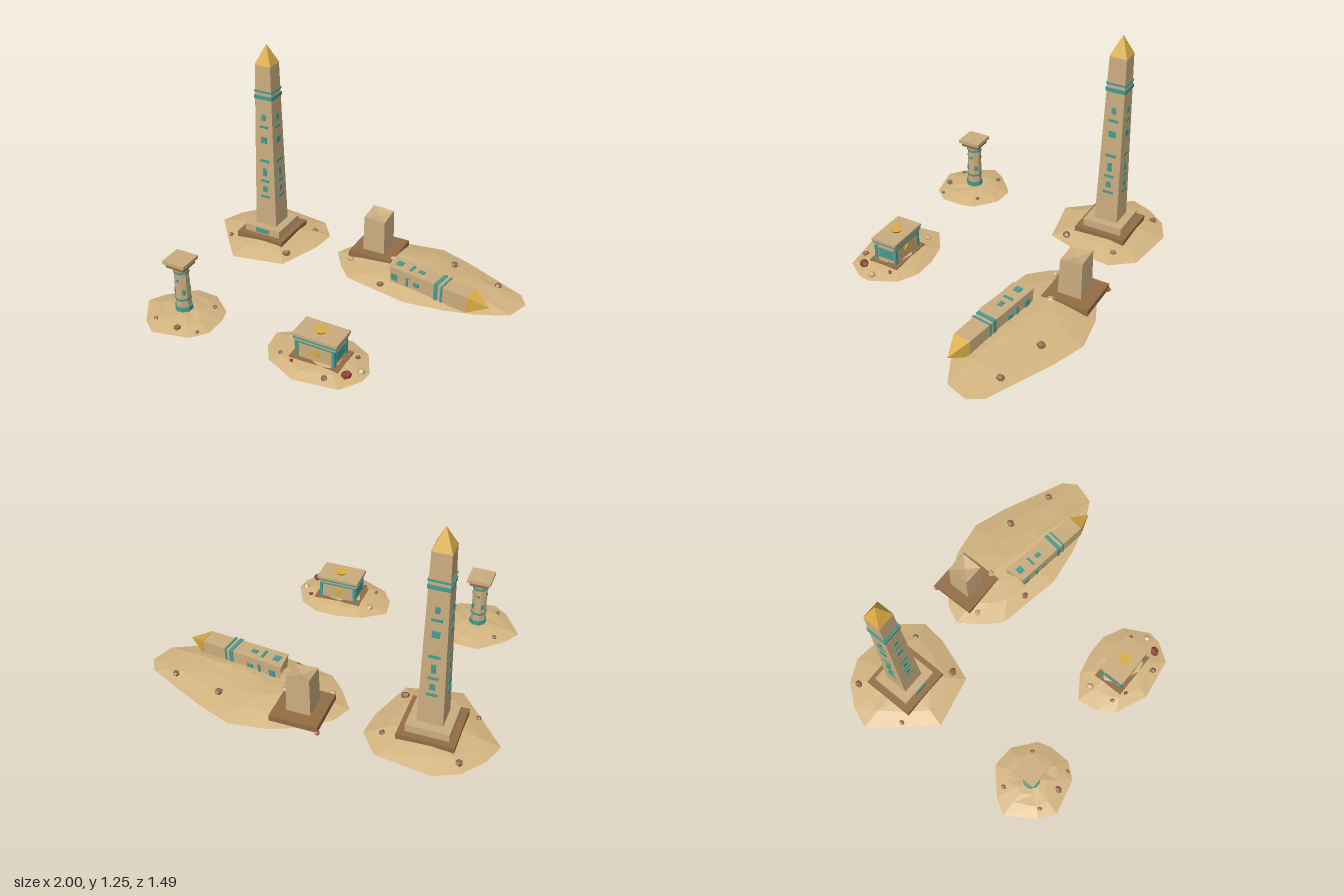
import * as THREE from 'three';

const mat = (name, color) => Object.assign(new THREE.MeshStandardMaterial({ color }), { name });
const M = {
  sand: mat('sand', 0xd3b480),
  stone: mat('stone', 0xcbad7f),
  brown: mat('brown stone', 0x936d45),
  gold: mat('gold', 0xd9ac45),
  teal: mat('teal', 0x469c94),
  rock: mat('rock', 0x93694a),
  red: mat('red rock', 0x8c4232),
};

let seed = 7;
const rand = () => ((seed = (seed * 16807) % 2147483647) / 2147483647);

// Faceted normals on any geometry
function flat(geo) {
  const g = geo.index ? geo.toNonIndexed() : geo;
  g.computeVertexNormals();
  return g;
}

function add(parent, name, geo, material, x = 0, y = 0, z = 0) {
  const mesh = new THREE.Mesh(flat(geo), material);
  mesh.name = name;
  mesh.position.set(x, y, z);
  parent.add(mesh);
  return mesh;
}

// Box given by its width, depth, bottom and top
const slab = (parent, name, material, w, d, y0, y1, x = 0, z = 0) =>
  add(parent, name, new THREE.BoxGeometry(w, y1 - y0, d), material, x, (y0 + y1) / 2, z);

// Square tapering block
function frustum(wTop, wBottom, y0, y1) {
  const g = new THREE.CylinderGeometry(wTop / Math.SQRT2, wBottom / Math.SQRT2, y1 - y0, 4);
  return g.rotateY(Math.PI / 4).translate(0, (y0 + y1) / 2, 0);
}

// Tilts and dents one end of a block so that it looks snapped off
function snap(geo, endY, slopeX, slopeZ, dent) {
  const p = geo.attributes.position;
  for (let i = 0; i < p.count; i++) {
    if (Math.abs(p.getY(i) - endY) > 1e-4) continue;
    const x = p.getX(i), z = p.getZ(i);
    p.setY(i, endY + slopeX * x + slopeZ * z + (Math.hypot(x, z) < 0.01 ? dent : 0));
  }
  return geo;
}

// Low sand mound: outline at the ground, rising in rings to a peak
function mound(parent, outline, cx, cz, height) {
  const rings = [[1, 0], [0.68, 0.58], [0.36, 0.9]];
  const n = outline.length, pos = [], idx = [];
  rings.forEach(([f, h], r) => outline.forEach(([x, z]) => {
    const k = r ? f * (0.93 + 0.14 * rand()) : 1;
    const y = r ? height * h * (0.85 + 0.3 * rand()) : 0;
    pos.push(cx + (x - cx) * k, y, cz + (z - cz) * k);
  }));
  const peak = rings.length * n, floor = peak + 1;
  pos.push(cx, height, cz, cx, 0, cz);
  for (let i = 0; i < n; i++) {
    const j = (i + 1) % n;
    for (let r = 0; r < rings.length - 1; r++) {
      const a = r * n + i, b = r * n + j;
      idx.push(a, a + n, b, b, a + n, b + n);
    }
    idx.push(peak, peak - n + j, peak - n + i, floor, i, j);
  }
  const g = new THREE.BufferGeometry();
  g.setAttribute('position', new THREE.Float32BufferAttribute(pos, 3));
  g.setIndex(idx);
  add(parent, 'sandMound', g, M.sand);
}

// Scattered stones: x, y, z, radius
function rocks(parent, material, list) {
  for (const [x, y, z, r] of list) {
    const m = add(parent, 'looseRock', new THREE.DodecahedronGeometry(r), material, x, y, z);
    m.scale.set(1, 0.7, 0.85);
    m.rotation.y = rand() * 6;
  }
}

// Shaft, gold tip, bands and inlays of an obelisk, from height y0 upwards
const TOP = 1.136;
const widthAt = (y) => 0.1 + (TOP - y) * 0.039;
const INLAYS = [ // y, width, height
  [0.82, 0.024, 0.036], [0.76, 0.056, 0.014], [0.676, 0.04, 0.038], [0.54, 0.06, 0.016],
  [0.466, 0.024, 0.052], [0.407, 0.054, 0.014], [0.352, 0.028, 0.036], [0.302, 0.06, 0.014],
];
function obelisk(y0, broken) {
  const g = new THREE.Group();
  const shaft = frustum(0.1, widthAt(y0), y0, TOP);
  add(g, 'shaft', broken ? snap(shaft, y0, 0.12, 0.2, 0.02) : shaft, M.stone);
  add(g, 'goldTip', frustum(0.0001, 0.104, TOP, 1.252), M.gold);
  for (const [y, h] of [[0.98, 0.01], [0.944, 0.022]]) {
    const w = widthAt(y) + 0.01;
    slab(g, 'tealBand', M.teal, w, w, y - h / 2, y + h / 2);
  }
  for (let side = 0; side < 4; side++) {
    const face = new THREE.Group();
    face.name = 'inlayFace';
    face.rotation.y = side * Math.PI / 2;
    g.add(face);
    for (const [y, w, h] of INLAYS) {
      if (y < y0) continue;
      const m = add(face, 'inlay', new THREE.BoxGeometry(w, h, 0.008), M.teal, 0, y, widthAt(y) / 2 + 0.001);
      m.rotation.x = -0.0195;
    }
  }
  return g;
}

function standingObelisk() {
  const g = new THREE.Group();
  g.name = 'standingObelisk';
  const X = -0.637, Z = -0.428;
  mound(g, [[-0.72, -0.74], [-0.41, -0.7], [-0.305, -0.57], [-0.32, -0.42], [-0.41, -0.16],
    [-0.716, -0.096], [-0.85, -0.25], [-1, -0.43], [-0.95, -0.556], [-0.856, -0.674]], X, Z, 0.05);
  slab(g, 'lowerStep', M.brown, 0.31, 0.31, 0.025, 0.063, X, Z);
  slab(g, 'upperStep', M.stone, 0.236, 0.236, 0.063, 0.108, X, Z);
  slab(g, 'stepInlay', M.teal, 0.085, 0.008, 0.072, 0.1, X, Z + 0.119);
  const o = obelisk(0.1, false);
  o.name = 'obelisk';
  o.position.set(X, 0, Z);
  g.add(o);
  rocks(g, M.rock, [[-0.83, 0.02, -0.625, 0.024], [-0.405, 0.018, -0.555, 0.022],
    [-0.433, 0.022, -0.245, 0.026], [-0.845, 0.02, -0.277, 0.016]]);
  return g;
}

function fallenObelisk() {
  const g = new THREE.Group();
  g.name = 'brokenObelisk';
  mound(g, [[0.38, -0.75], [0.58, -0.68], [0.95, -0.51], [1, -0.43], [0.957, -0.3], [0.797, -0.22],
    [0.61, -0.17], [0.385, -0.14], [0, -0.21], [-0.09, -0.3], [-0.18, -0.43], [-0.13, -0.535],
    [-0.02, -0.636], [0.166, -0.717]], 0.34, -0.42, 0.05);
  slab(g, 'stumpStep', M.brown, 0.272, 0.272, 0.018, 0.053, 0.045, -0.537);
  add(g, 'stump', snap(frustum(0.13, 0.138, 0.05, 0.275), 0.275, -0.06, -0.13, -0.015),
    M.stone, 0.043, 0, -0.532);
  // Upper piece lying on its side
  const piece = new THREE.Group();
  piece.name = 'fallenPiece';
  const o = obelisk(0.636, true);
  o.position.y = -0.636;
  piece.add(o);
  piece.position.set(0.243, 0.066, -0.32);
  piece.rotation.set(0, -0.139, -Math.PI / 2 - 0.017);
  g.add(piece);
  rocks(g, M.rock, [[0.516, 0.035, -0.578, 0.026], [0.81, 0.022, -0.512, 0.023],
    [0.205, 0.02, -0.215, 0.022], [-0.087, 0.015, -0.667, 0.02]]);
  rocks(g, M.stone, [[0.18, 0.045, -0.455, 0.025], [-0.06, 0.025, -0.367, 0.021]]);
  return g;
}

function column() {
  const g = new THREE.Group();
  g.name = 'columnSet';
  const X = -0.64, Z = 0.512;
  mound(g, [[-0.695, 0.295], [-0.567, 0.3], [-0.44, 0.4], [-0.417, 0.48], [-0.42, 0.604], [-0.49, 0.69],
    [-0.695, 0.738], [-0.78, 0.674], [-0.888, 0.508], [-0.834, 0.42], [-0.77, 0.36]], X, Z, 0.032);
  // Eight-sided stacked sections
  const section = (name, m, rTop, rBottom, y0, y1) =>
    add(g, name, new THREE.CylinderGeometry(rTop, rBottom, y1 - y0, 8).rotateY(Math.PI / 8), m, X, (y0 + y1) / 2, Z);
  section('shaft', M.stone, 0.041, 0.045, 0.02, 0.29);
  section('footBand', M.teal, 0.05, 0.05, 0.036, 0.064);
  section('lowBand', M.teal, 0.047, 0.047, 0.105, 0.117);
  section('neckBand', M.teal, 0.045, 0.045, 0.275, 0.288);
  section('neck', M.stone, 0.048, 0.042, 0.288, 0.316);
  slab(g, 'capitalBase', M.brown, 0.112, 0.112, 0.314, 0.338, X, Z);
  slab(g, 'capitalSlab', M.stone, 0.136, 0.136, 0.338, 0.358, X, Z);
  for (let i = 0; i < 8; i++) {
    const a = i * Math.PI / 4;
    const y = i % 2 ? 0.16 : 0.235;
    const m = add(g, 'inlay', new THREE.BoxGeometry(0.02, i % 2 ? 0.03 : 0.014, 0.008), M.teal,
      X + Math.sin(a) * 0.04, y, Z + Math.cos(a) * 0.04);
    m.rotation.y = a;
  }
  rocks(g, M.rock, [[-0.765, 0.02, 0.412, 0.016], [-0.583, 0.02, 0.663, 0.022],
    [-0.733, 0.02, 0.647, 0.014], [-0.508, 0.02, 0.412, 0.014], [-0.47, 0.014, 0.64, 0.012]]);
  return g;
}

function chest() {
  const g = new THREE.Group();
  g.name = 'chestSet';
  const X = 0.214, Z = 0.51;
  mound(g, [[0.166, 0.31], [0.3, 0.31], [0.417, 0.37], [0.49, 0.51], [0.48, 0.583], [0.406, 0.69],
    [0.16, 0.727], [-0.02, 0.647], [-0.085, 0.55], [-0.1, 0.43], [0.03, 0.34]], X, Z, 0.034);
  slab(g, 'plinth', M.brown, 0.285, 0.185, 0.005, 0.029, X, Z);
  slab(g, 'body', M.stone, 0.22, 0.136, 0.02, 0.135, X, Z);
  slab(g, 'cornice', M.stone, 0.24, 0.15, 0.132, 0.144, X, Z);
  slab(g, 'tealTrim', M.teal, 0.25, 0.155, 0.144, 0.156, X, Z);
  slab(g, 'lid', M.stone, 0.258, 0.158, 0.156, 0.172, X, Z);
  for (const s of [-1, 1]) {
    for (const t of [-1, 1]) slab(g, 'cornerPost', M.teal, 0.018, 0.018, 0.028, 0.132, X + s * 0.106, Z + t * 0.064);
    slab(g, 'endPanel', M.teal, 0.008, 0.094, 0.052, 0.11, X + s * 0.11, Z);
    slab(g, 'topRail', M.teal, 0.21, 0.008, 0.12, 0.131, X, Z + s * 0.069);
    add(g, 'sideDisc', new THREE.CylinderGeometry(0.026, 0.026, 0.008, 12).rotateX(Math.PI / 2),
      M.gold, X, 0.08, Z + s * 0.071);
  }
  add(g, 'lidDisc', new THREE.CylinderGeometry(0.039, 0.026, 0.016, 12), M.gold, X, 0.18, Z);
  rocks(g, M.stone, [[0.005, 0.02, 0.438, 0.024], [0.45, 0.014, 0.52, 0.024]]);
  rocks(g, M.rock, [[0.31, 0.018, 0.663, 0.02], [0.016, 0.02, 0.588, 0.014]]);
  rocks(g, M.red, [[0.406, 0.033, 0.604, 0.03], [0.1, 0.022, 0.622, 0.013], [0.39, 0.022, 0.44, 0.014]]);
  return g;
}

export function createModel() {
  const model = new THREE.Group();
  model.name = 'desertRuins';
  model.add(standingObelisk(), fallenObelisk(), column(), chest());
  return model;
}
